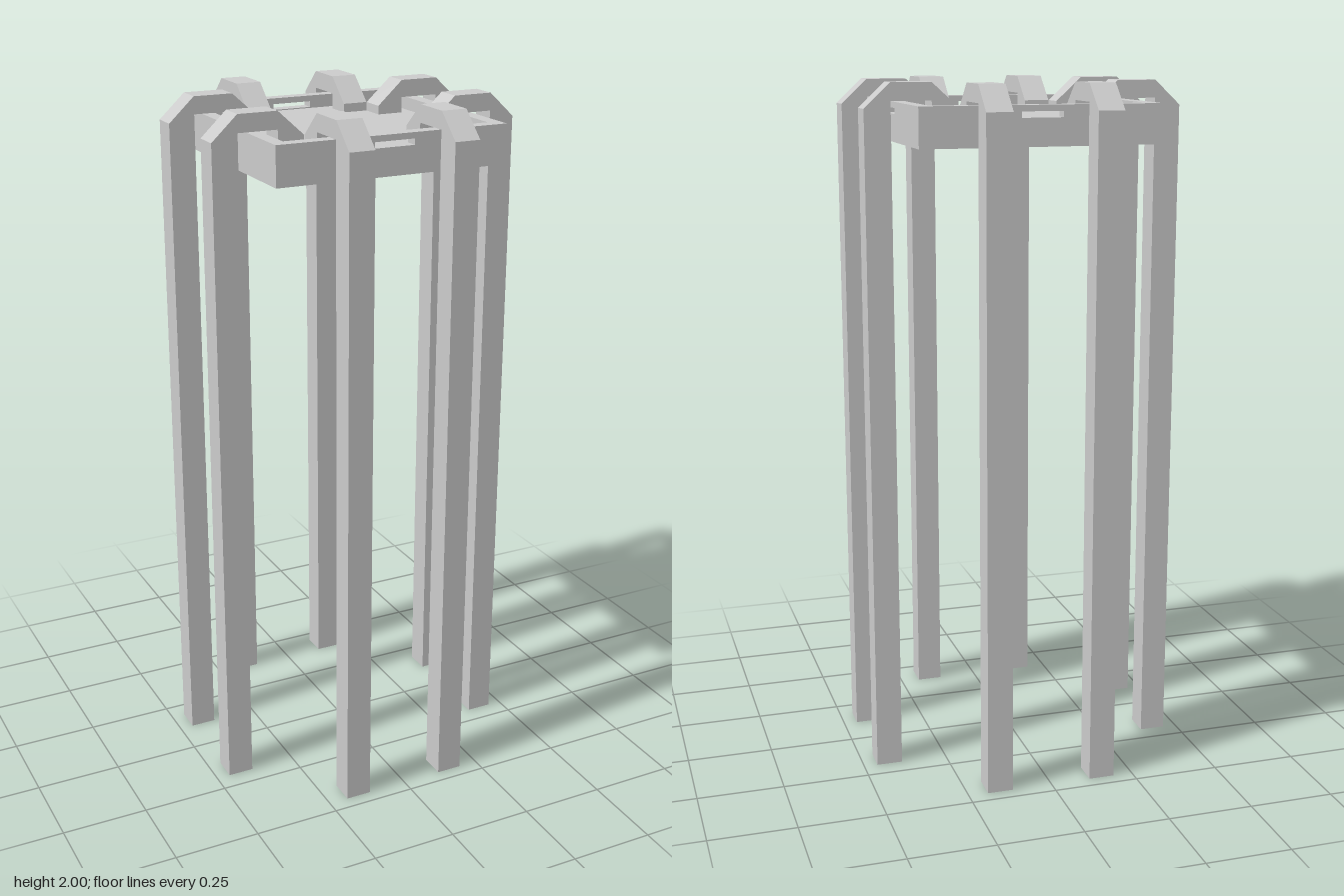
import * as THREE from 'three';

export function createModel() {
  const model = new THREE.Group();
  const material = new THREE.MeshStandardMaterial({ color: 0xcccccc, flatShading: true });

  const OUTER = 0.345, INNER = 0.307, RIM = OUTER - INNER;
  const BOTTOM = 1.83, FLOOR = 1.905, TOP = 1.942;

  const polygon = (points) => new THREE.Shape(points.map(([x, y]) => new THREE.Vector2(x, y)));
  const rect = (x, y0, y1) => [[-x, y0], [x, y0], [x, y1], [-x, y1]];
  const extrude = (shape, depth) =>
    new THREE.ExtrudeGeometry(shape, { depth, bevelEnabled: false });
  const add = (parent, name, geometry) => {
    const mesh = new THREE.Mesh(geometry, material);
    mesh.name = name;
    parent.add(mesh);
    return mesh;
  };

  // Solid tray base
  add(model, 'trayBase', new THREE.BoxGeometry(OUTER * 2, FLOOR - BOTTOM, OUTER * 2))
    .position.y = (BOTTOM + FLOOR) / 2;

  // Rim wall with a narrow slot through its middle
  const wallGeometry = (halfLength) => {
    const shape = polygon(rect(halfLength, FLOOR, TOP));
    shape.holes.push(polygon(rect(0.06, 1.908, 1.925).reverse()));
    return extrude(shape, RIM).translate(0, 0, INNER);
  };
  const longWall = wallGeometry(OUTER);
  const shortWall = wallGeometry(INNER);

  // Leg with a chamfered hook reaching over the rim to the tray floor
  const legGeometry = extrude(polygon([
    [0.385, 0], [0.46, 0], [0.46, 1.93], [0.385, 2], [0.27, 2], [0.193, 1.93],
    [0.193, FLOOR], [0.27, FLOOR], [0.27, 1.95], [0.385, 1.95],
  ]), 0.075);

  // Four identical sides, each with a rim wall and two legs
  for (let i = 0; i < 4; i++) {
    const side = new THREE.Group();
    side.name = ['front', 'left', 'back', 'right'][i] + 'Side';
    side.rotation.y = i * Math.PI / 2;
    add(side, 'rimWall', i % 2 ? shortWall : longWall);
    for (const x of [-0.1925, 0.1175]) {
      const leg = add(side, 'hookedLeg', legGeometry);
      leg.rotation.y = -Math.PI / 2;
      leg.position.x = x + 0.075;
    }
    model.add(side);
  }
  return model;
}
